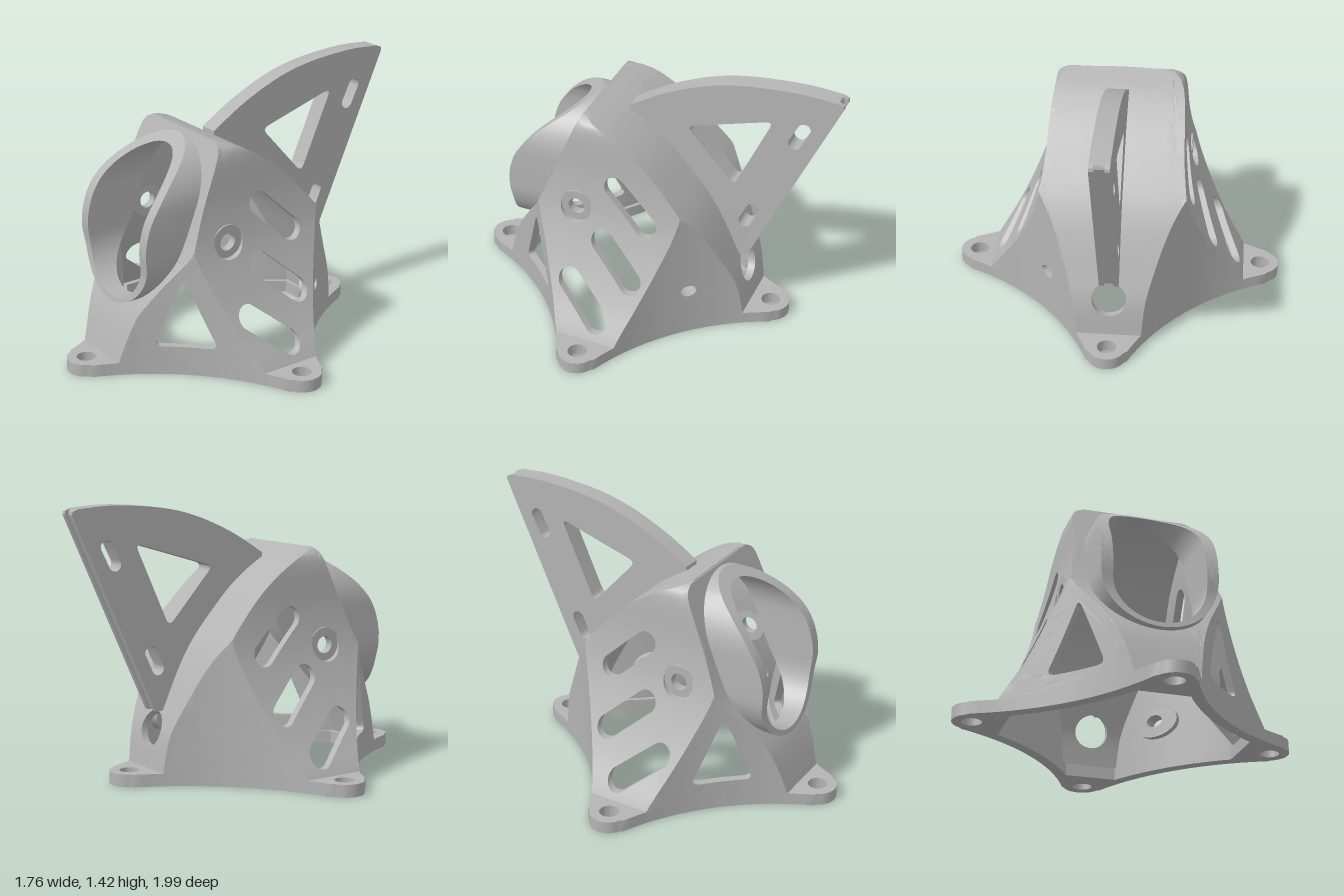
import * as THREE from 'three';
import { toCreasedNormals } from 'three/addons/utils/BufferGeometryUtils.js';

const T = 0.04;            // wall thickness
const ZC = 0.11;           // centre of the base in z
const C = 1.327, R = 1.325; // concave base arcs: circle centre and radius

// Smooth function through [input, output] pairs
function through(p) {
  const m = p.map((_, i) => {
    const a = p[Math.max(i - 1, 0)], b = p[Math.min(i + 1, p.length - 1)];
    return (b[1] - a[1]) / (b[0] - a[0]);
  });
  return (y) => {
    let i = 0;
    while (i < p.length - 2 && y > p[i + 1][0]) i++;
    const d = p[i + 1][0] - p[i][0], t = (y - p[i][0]) / d, s = 1 - t;
    return s * s * (1 + 2 * t) * p[i][1] + t * s * s * d * m[i]
      + t * t * (3 - 2 * t) * p[i + 1][1] - t * t * s * d * m[i + 1];
  };
}

// Body profiles by height: half width, front z, back z, and front z of the port rim
const sideX = through([[0, 0.715], [0.065, 0.69], [0.25, 0.575], [0.45, 0.475], [0.65, 0.4], [0.85, 0.362], [1.1, 0.342], [1.15, 0.32], [1.176, 0.27]]);
const frontZ = through([[0, 0.81], [0.065, 0.8], [0.3, 0.72], [0.45, 0.63], [0.63, 0.51], [0.9, 0.395], [1.176, 0.28]]);
const backZ = through([[0, -0.575], [0.065, -0.57], [0.25, -0.54], [0.41, -0.475], [0.6, -0.385], [0.72, -0.31], [0.85, -0.2], [1, -0.05], [1.12, 0.13], [1.176, 0.275]]);
const rimZ = through([[0.33, 0.738], [0.45, 0.712], [0.55, 0.702], [0.66, 0.712], [0.75, 0.702], [0.85, 0.665], [0.95, 0.59], [1.03, 0.5], [1.1, 0.4], [1.17, 0.295]]);
const arc = (a) => C - Math.sqrt(Math.max(R * R - (C - a) ** 2, 0)); // concave diamond

// Outline and hole helpers, all returning [u, v] points
const circle = (u, v, r, n = 28) => Array.from({ length: n }, (_, i) => {
  const a = i / n * Math.PI * 2;
  return [u + r * Math.cos(a), v + r * Math.sin(a)];
});
function slot(a, b, r, n = 14) {
  const dir = Math.atan2(b[1] - a[1], b[0] - a[0]), pts = [];
  [[a, dir + Math.PI / 2], [b, dir - Math.PI / 2]].forEach(([c, s]) => {
    for (let i = 0; i <= n; i++) {
      const t = s + i / n * Math.PI;
      pts.push([c[0] + r * Math.cos(t), c[1] + r * Math.sin(t)]);
    }
  });
  return pts;
}
function rounded(pts, r) {
  const out = [];
  pts.forEach((p, i) => {
    const toward = (q) => {
      const l = Math.hypot(q[0] - p[0], q[1] - p[1]);
      return [p[0] + (q[0] - p[0]) * r / l, p[1] + (q[1] - p[1]) * r / l];
    };
    const a = toward(pts[(i + pts.length - 1) % pts.length]), b = toward(pts[(i + 1) % pts.length]);
    for (let k = 0; k <= 6; k++) {
      const t = k / 6, s = 1 - t;
      out.push([0, 1].map((j) => s * s * a[j] + 2 * s * t * p[j] + t * t * b[j]));
    }
  });
  return out;
}
// Region between two functions of height
function band(lo, hi, y0, y1, n = 60) {
  const left = [], right = [];
  for (let i = 0; i <= n; i++) {
    const y = y0 + (y1 - y0) * i / n, a = lo(y), b = hi(y);
    if (b - a < 0.004) break;
    left.unshift([a, y]);
    right.push([b, y]);
  }
  return right.concat(left);
}

// Flat plate with holes, finely split and bent by map(u, v, w), w = 0 inside, 1 outside
function plate(outline, holes, map, max = 0.06) {
  const vec = (p) => new THREE.Vector2(p[0], p[1]);
  const shape = new THREE.Shape(outline.map(vec));
  shape.holes = holes.map((h) => new THREE.Path(h.map(vec)));
  let flat = new THREE.ExtrudeGeometry(shape, { depth: 1, bevelEnabled: false });
  if (flat.index) flat = flat.toNonIndexed();
  const src = flat.attributes.position, todo = [], tris = [];
  for (let i = 0; i < src.count; i += 3) {
    todo.push([0, 1, 2].map((k) => [src.getX(i + k), src.getY(i + k), src.getZ(i + k)]));
  }
  while (todo.length) {
    const t = todo.pop();
    const len = t.map((p, k) => Math.hypot(p[0] - t[(k + 1) % 3][0], p[1] - t[(k + 1) % 3][1]));
    const k = len.indexOf(Math.max(...len));
    if (len[k] <= max) { tris.push(t); continue; }
    const a = t[k], b = t[(k + 1) % 3], c = t[(k + 2) % 3], m = a.map((x, j) => (x + b[j]) / 2);
    todo.push([a, m, c], [m, b, c]);
  }
  // Bend, then turn the faces outward
  let volume = 0;
  const bent = tris.map((t) => {
    const q = t.map((p) => new THREE.Vector3(...map(...p)));
    volume += q[0].dot(q[1].clone().cross(q[2]));
    return q;
  });
  const pos = [];
  bent.forEach((q) => (volume < 0 ? [q[0], q[2], q[1]] : q).forEach((p) => pos.push(p.x, p.y, p.z)));
  const geo = new THREE.BufferGeometry();
  geo.setAttribute('position', new THREE.Float32BufferAttribute(pos, 3));
  return toCreasedNormals(geo, 0.55);
}

export function createModel() {
  const group = new THREE.Group();
  const grey = new THREE.MeshStandardMaterial({ color: 0xb4b4b4 });
  grey.name = 'grey';
  const add = (name, ...args) => {
    const mesh = new THREE.Mesh(plate(...args), grey);
    mesh.name = name;
    group.add(mesh);
  };

  // Base flange with four bolt tabs
  const turn = ([x, z], k) => [[x, z], [-z, x], [-x, -z], [z, -x]][k];
  const arcPoints = (r, from, to) => Array.from({ length: 21 }, (_, i) => {
    const a = THREE.MathUtils.degToRad(from + (to - from) * i / 20);
    return [C + r * Math.cos(a), C + r * Math.sin(a)];
  });
  const outline = [], opening = [], boltHoles = [];
  for (let k = 0; k < 4; k++) {
    for (let a = -65; a <= 65; a += 13) {
      const t = THREE.MathUtils.degToRad(a);
      outline.push(turn([0.78 + 0.1 * Math.cos(t), 0.1 * Math.sin(t)], k));
    }
    arcPoints(R, -112.9, -157.1).forEach((p) => outline.push(turn(p, k)));
    arcPoints(R + 0.06, -120.7, -149.3).forEach((p) => opening.push(turn(p, k)));
    boltHoles.push(circle(...turn([0.78, 0], k), 0.05));
  }
  add('baseFlange', outline, [opening, ...boltHoles], (u, v, w) => [u, w * 0.065, ZC + v], 9);

  // Walls on both sides
  const ridge = (y) => arc(sideX(y));
  const sideOutline = band((y) => Math.max(ZC - ridge(y), backZ(y)), (y) => Math.min(ZC + ridge(y), frontZ(y)), 0.01, 1.174);
  const slots = [
    slot([0.07, 0.83], [-0.11, 0.66], 0.06),
    slot([0.115, 0.535], [-0.07, 0.37], 0.06),
    slot([0.26, 0.315], [0.07, 0.16], 0.06),
  ];
  const windowHole = rounded([[0.65, 0.155], [0.41, 0.155], [0.53, 0.53]], 0.04);
  for (const s of [1, -1]) {
    const side = s > 0 ? 'left' : 'right';
    add(side + 'SideWall', sideOutline, [...slots, circle(0.28, 0.675, 0.085)],
      (z, y, w) => [s * (sideX(y) - T * (1 - w)), y, z]);
    add(side + 'PivotBoss', circle(0.28, 0.675, 0.09), [circle(0.28, 0.675, 0.045)],
      (z, y, w) => [s * (0.34 + 0.045 * w), y, z], 9);

    // Concave corner walls: offset along the arc's own normal
    const corner = (e, d0, d1) => (z, y, w) => {
      const b = e * (z - ZC), a = arc(b), d = d0 + (d1 - d0) * w;
      return [s * (a + d * (C - a) / R), y, ZC + e * (b + d * (C - b) / R)];
    };
    add(side + 'FrontCornerWall', band((y) => ZC + ridge(y), frontZ, 0.01, 0.9, 120), [windowHole], corner(1, -T, 0));
    add(side + 'BackCornerWall', band(backZ, (y) => ZC - ridge(y), 0.01, 0.95, 120),
      s > 0 ? [circle(-0.33, 0.27, 0.033)] : [], corner(-1, -T, 0));
    if (s > 0) {
      add('cableBoss', circle(-0.33, 0.27, 0.09), [circle(-0.33, 0.27, 0.033)], corner(-1, -0.075, -0.03));
    }
  }

  // Front and back walls, offset along the profile normal
  const across = (profile, e) => (x, y, w) => {
    const k = (profile(y + 0.002) - profile(y - 0.002)) / 0.004, d = T * (w - 1) * e / Math.hypot(1, k);
    return [x, y - k * d, profile(y) + d];
  };
  const frontHalf = (y) => Math.min(sideX(y), arc(frontZ(y) - ZC));
  const backHalf = (y) => Math.min(sideX(y), arc(ZC - backZ(y)));
  add('frontWall', band((y) => -frontHalf(y), frontHalf, 0.01, 1.174),
    [slot([0, 0.63], [0, 0.86], 0.27)], across(frontZ, 1));
  add('backWall', band((y) => -backHalf(y), backHalf, 0.01, 1.174),
    [circle(0, 0.265, 0.09)], across(backZ, -1));

  // Long round port in the front with its wavy rim
  add('portTube', slot([0, 0.64], [0, 0.86], 0.3, 28), [slot([0, 0.605], [0, 0.875], 0.24, 28)],
    (x, y, w) => [x, y, w ? rimZ(y) : frontZ(y) - 0.05]);

  // Back fin: two cheeks and a core set back along the straight edge
  const rise = new THREE.SplineCurve([[0.12, 1.135], [-0.07, 1.25], [-0.29, 1.345], [-0.5, 1.395], [-0.77, 1.417], [-0.97, 1.407]]
    .map((p) => new THREE.Vector2(...p))).getPoints(30).map((p) => [p.x, p.y]);
  const root = [[-0.5, 0.36], [-0.45, 0.44], [-0.37, 0.6], [-0.29, 0.71], [-0.18, 0.845], [-0.03, 0.99], [0.12, 1.09]];
  const finHoles = [
    rounded([[-0.19, 1.085], [-0.65, 1.225], [-0.455, 0.79]], 0.045),
    slot([-0.765, 1.125], [-0.81, 1.215], 0.034),
    slot([-0.522, 0.58], [-0.562, 0.665], 0.034),
  ];
  [[-0.05, -0.025, 0], [-0.025, 0.025, 0.02], [0.025, 0.05, 0]].forEach(([x0, x1, trim], i) => {
    const edge = [[-0.997 + trim, 1.395], [-1 + trim, 1.378], [-0.54 + trim, 0.36]];
    add(['finRightCheek', 'finCore', 'finLeftCheek'][i], [...rise, ...edge, ...root], finHoles,
      (z, y, w) => [x0 + (x1 - x0) * w, y, z], 9);
  });
  return group;
}
